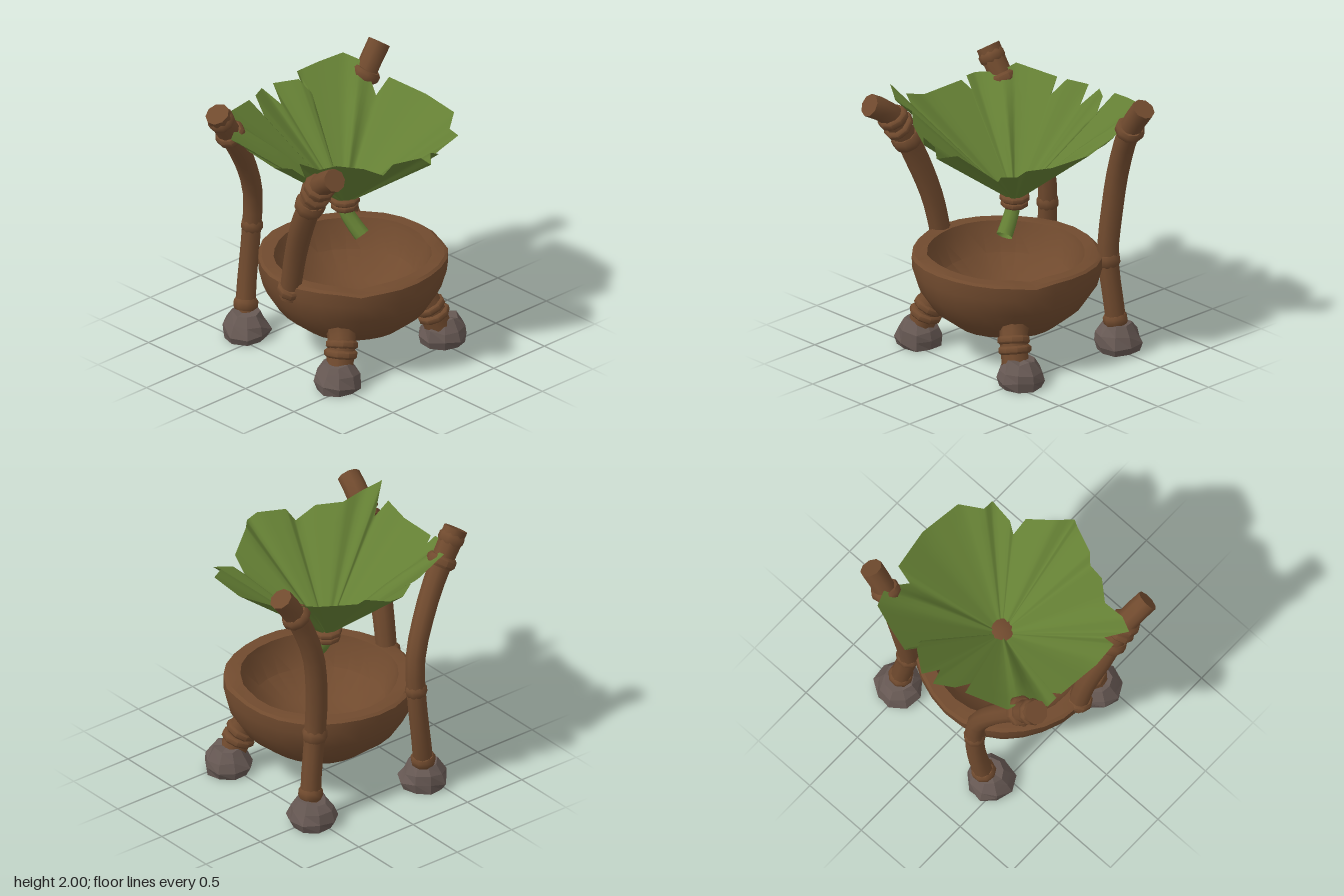
import * as THREE from 'three';
import { toCreasedNormals } from 'three/addons/utils/BufferGeometryUtils.js';

const wood = new THREE.MeshStandardMaterial({ color: 0x704a2e });
wood.name = 'brown wood';
const leafGreen = new THREE.MeshStandardMaterial({ color: 0x647f34, side: THREE.DoubleSide });
leafGreen.name = 'leaf green';
const stone = new THREE.MeshStandardMaterial({ color: 0x665853 });
stone.name = 'grey stone';

const V = (x, y, z) => new THREE.Vector3(x, y, z);
const UP = V(0, 1, 0);

function seeded(seed) {
  let s = seed;
  return () => (s = (s * 16807) % 2147483647) / 2147483647;
}

function mesh(name, geometry, material) {
  const m = new THREE.Mesh(geometry, material);
  m.name = name;
  return m;
}

function gridGeometry(positions, index) {
  const g = new THREE.BufferGeometry();
  g.setAttribute('position', new THREE.Float32BufferAttribute(positions, 3));
  g.setIndex(index);
  g.computeVertexNormals();
  return g;
}

// Tapered branch along a curve; radii are spread evenly along its length
function branch(curve, radii, capped = true, sides = 9, steps = 14) {
  const pos = [], index = [];
  const frames = curve.computeFrenetFrames(steps);
  for (let i = 0; i <= steps; i++) {
    const c = curve.getPointAt(i / steps);
    const f = (i / steps) * (radii.length - 1), k = Math.min(Math.floor(f), radii.length - 2);
    const r = THREE.MathUtils.lerp(radii[k], radii[k + 1], f - k);
    for (let j = 0; j < sides; j++) {
      const a = (j / sides) * Math.PI * 2;
      const p = c.clone().addScaledVector(frames.normals[i], Math.cos(a) * r)
        .addScaledVector(frames.binormals[i], Math.sin(a) * r);
      pos.push(p.x, p.y, p.z);
      if (i < steps) {
        const n = (j + 1) % sides, b = i * sides, t = b + sides;
        index.push(b + j, b + n, t + j, b + n, t + n, t + j);
      }
    }
  }
  if (capped) {
    const last = steps * sides;
    for (let j = 1; j < sides - 1; j++) {
      index.push(0, j + 1, j, last, last + j, last + j + 1);
    }
  }
  return toCreasedNormals(gridGeometry(pos, index), 0.9);
}

// Swollen knot around a branch
function knot(name, curve, u, radius, height, tilt = 0) {
  const h = height / 2;
  const profile = [[0, -h], [radius * 0.86, -h], [radius, -h * 0.5], [radius, h * 0.5], [radius * 0.86, h], [0, h]];
  const g = new THREE.LatheGeometry(profile.map(([r, y]) => new THREE.Vector2(r, y)), 9);
  const m = mesh(name, toCreasedNormals(g, 0.9), wood);
  m.position.copy(curve.getPointAt(u));
  m.quaternion.setFromUnitVectors(UP, curve.getTangentAt(u));
  m.rotateX(tilt);
  return m;
}

// Branch with its knots, given as [u, radius, height, tilt]
function limb(name, points, radii, knots) {
  const group = new THREE.Group();
  group.name = name;
  const curve = new THREE.CatmullRomCurve3(points.map((p) => V(...p)));
  group.add(mesh(name + 'Wood', branch(curve, radii), wood));
  for (const k of knots) group.add(knot(name + 'Knot', curve, ...k));
  return group;
}

// Faceted boulder with a flat base
function rock(x, z, seed) {
  const rand = seeded(seed);
  const profile = [[0, 0], [0.16, 0], [0.178, 0.06], [0.155, 0.13], [0.105, 0.2], [0, 0.2]];
  const g = new THREE.LatheGeometry(profile.map(([r, y]) => new THREE.Vector2(r, y)), 9);
  const p = g.attributes.position, rows = profile.length;
  for (let row = 1; row < rows - 1; row++) {
    const jitter = Array.from({ length: 9 }, () => [0.92 + rand() * 0.16, (rand() - 0.5) * 0.03]);
    for (let s = 0; s <= 9; s++) {
      const i = s * rows + row, [k, dy] = jitter[s % 9];
      p.setXYZ(i, p.getX(i) * k, row === 1 ? 0 : p.getY(i) + dy, p.getZ(i) * k);
    }
  }
  const m = mesh('stoneFoot', toCreasedNormals(g, 0.15), stone);
  m.position.set(x, 0, z);
  return m;
}

// Thick-walled bowl with a slightly uneven, chipped rim
function bowl() {
  const profile = [[0, 0.15], [0.2, 0.17], [0.39, 0.25], [0.55, 0.38], [0.645, 0.53], [0.68, 0.66], [0.68, 0.75],
    [0.655, 0.765], [0.565, 0.765], [0.55, 0.71], [0.47, 0.55], [0.28, 0.41], [0, 0.36]];
  const g = new THREE.LatheGeometry(profile.map(([r, y]) => new THREE.Vector2(r, y)), 28);
  const p = g.attributes.position, rows = profile.length;
  for (let s = 0; s <= 28; s++) {
    const a = ((s % 28) / 28) * Math.PI * 2;
    for (let row = 1; row < rows - 1; row++) {
      const i = s * rows + row;
      const k = 1 + 0.012 * Math.sin(a * 5 + row * 0.6);
      const chip = row > 5 && row < 9 ? 0.012 * Math.cos(a) - (s === 5 || s === 25 ? 0.02 : 0) : 0;
      p.setXYZ(i, p.getX(i) * k, p.getY(i) + chip, p.getZ(i) * k);
    }
  }
  const m = mesh('bowl', toCreasedNormals(g, 0.5), wood);
  m.position.z = 0.06;
  return m;
}

// Torn leaf funnel: every rim point runs down to the central hole
function leaf() {
  const rim = [
    [0.06, 1.72, 0.81], [0.16, 1.74, 0.7], [0.34, 1.63, 0.6], [0.35, 1.53, 0.48], [0.42, 1.6, 0.52],
    [0.6, 1.66, 0.53], [0.6, 1.68, 0.44], [0.75, 1.72, 0.33], [0.79, 1.73, 0], [0.73, 1.77, -0.32],
    [0.61, 1.66, -0.33], [0.66, 1.76, -0.45], [0.66, 1.85, -0.55], [0.61, 1.88, -0.67], [0.42, 1.85, -0.73],
    [0.25, 1.82, -0.77], [0.24, 1.7, -0.6], [0.2, 1.8, -0.7], [0.05, 1.78, -0.81], [0, 1.68, -0.67],
    [-0.06, 1.78, -0.81], [-0.2, 1.8, -0.73], [-0.24, 1.7, -0.6], [-0.28, 1.8, -0.71], [-0.6, 1.84, -0.61],
    [-0.63, 1.8, -0.48], [-0.78, 1.78, -0.38], [-0.78, 1.78, -0.29], [-0.7, 1.7, -0.27], [-0.78, 1.76, -0.24],
    [-0.81, 1.74, 0.1], [-0.81, 1.8, 0.28], [-0.7, 1.7, 0.3], [-0.85, 1.9, 0.4], [-0.72, 1.83, 0.47],
    [-0.55, 1.8, 0.47], [-0.4, 1.77, 0.6], [-0.25, 1.68, 0.64], [-0.2, 1.77, 0.69], [0, 1.78, 0.77],
  ];
  const pos = [], index = [], rows = 7, split = 3, count = rim.length * split;
  for (let s = 0; s < count; s++) {
    const k = Math.floor(s / split);
    const e = V(...rim[k]).lerp(V(...rim[(k + 1) % rim.length]), (s % split) / split);
    // raised ribs run toward the two back posts
    const a = Math.atan2(-e.z, Math.abs(e.x));
    const rib = 0.05 * Math.exp(-(((a - 0.66) / 0.09) ** 2));
    for (let r = 0; r < rows; r++) {
      const t = 0.07 + 0.93 * (r / (rows - 1));
      const y = 1.12 + (e.y - 1.12) * t + rib * Math.sin(Math.PI * t);
      pos.push(e.x * t, y, e.z * t - 0.02 * (1 - t));
      if (r < rows - 1) {
        const b = s * rows + r, n = ((s + 1) % count) * rows + r;
        index.push(b, b + 1, n, n, b + 1, n + 1);
      }
    }
  }
  return mesh('leafFunnel', gridGeometry(pos, index), leafGreen);
}

export function createModel() {
  const model = new THREE.Group();
  model.name = 'leafFunnelBowl';
  model.add(bowl(), leaf());

  // Hollow leaf stem and the band that ties it
  const stemCurve = new THREE.CatmullRomCurve3([V(0, 1.17, -0.02), V(0, 1.07, 0), V(0.02, 0.98, 0.06), V(0.04, 0.91, 0.12)]);
  model.add(mesh('leafStem', branch(stemCurve, [0.05, 0.055, 0.06], false), leafGreen));
  const band = new THREE.CatmullRomCurve3([V(0, 1.08, -0.02), V(0, 1.19, -0.02)]);
  model.add(knot('stemBand', band, 0.3, 0.1, 0.05), knot('stemBand', band, 0.72, 0.11, 0.05));

  // Three posts holding the leaf
  model.add(
    limb('frontRightPost',
      [[-0.64, 0.64, 0.08], [-0.66, 1, 0.16], [-0.7, 1.35, 0.29], [-0.72, 1.6, 0.42], [-0.74, 1.75, 0.53], [-0.77, 1.84, 0.68]],
      [0.075, 0.08, 0.088, 0.088, 0.085],
      [[0.05, 0.1, 0.07, 0.15], [0.66, 0.112, 0.1], [0.76, 0.118, 0.06, 0.2], [0.82, 0.115, 0.07, -0.15]]),
    limb('backLeftPost',
      [[0.55, 0.12, -0.51], [0.52, 0.4, -0.49], [0.48, 0.72, -0.48], [0.49, 1.05, -0.51], [0.54, 1.4, -0.53], [0.68, 1.75, -0.51], [0.82, 1.95, -0.51]],
      [0.075, 0.075, 0.08, 0.08, 0.08, 0.085],
      [[0.06, 0.09, 0.08], [0.3, 0.092, 0.09, 0.1], [0.87, 0.108, 0.08, 0.15]]),
    limb('backRightPost',
      [[-0.41, 0.12, -0.62], [-0.36, 0.4, -0.65], [-0.32, 0.75, -0.65], [-0.32, 1.08, -0.63], [-0.42, 1.35, -0.59], [-0.6, 1.65, -0.53], [-0.79, 1.94, -0.51]],
      [0.075, 0.07, 0.07, 0.075, 0.08, 0.09],
      [[0.06, 0.09, 0.08], [0.37, 0.08, 0.08], [0.87, 0.112, 0.08], [0.96, 0.098, 0.08]]));

  // Short front legs
  for (const side of [-1, 1]) {
    model.add(limb(side < 0 ? 'frontRightLeg' : 'frontLeftLeg',
      [[side * 0.36, 0.46, 0.32], [side * 0.43, 0.32, 0.4], [side * 0.49, 0.14, 0.44]],
      [0.15, 0.105, 0.1, 0.1],
      [[0.52, 0.118, 0.06], [0.7, 0.122, 0.06]]));
  }

  // Stone feet
  [[-0.51, 0.44], [0.54, 0.44], [0.54, -0.52], [-0.42, -0.6]].forEach(([x, z], i) => model.add(rock(x, z, 17 + i * 31)));
  return model;
}
